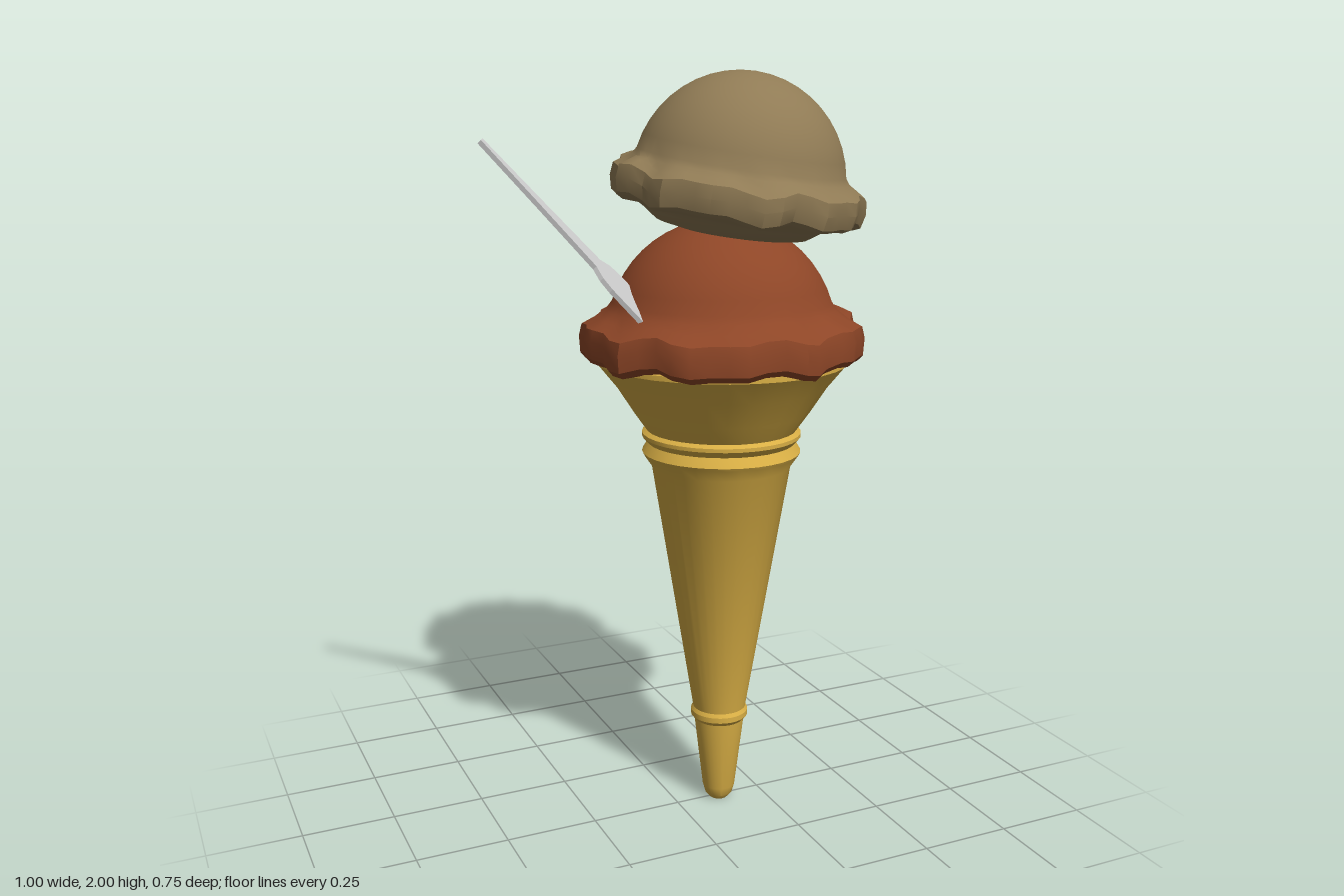
import * as THREE from 'three';
import { mergeVertices, toCreasedNormals } from 'three/addons/utils/BufferGeometryUtils.js';

const mat = (color, side = THREE.FrontSide) =>
  new THREE.MeshStandardMaterial({ color, side });

function makeMesh(name, geometry, material) {
  const mesh = new THREE.Mesh(geometry, material);
  mesh.name = name;
  return mesh;
}

// Turned part from [radius, height] pairs listed bottom to top
function lathe(profile, segments) {
  return new THREE.LatheGeometry(profile.map(([r, y]) => new THREE.Vector2(r, y)), segments);
}

// Scoop: underside and skirt profile, then a round dome; the skirt is made wavy
function scoopGeometry(base, domeRadius, domeY, startAngle, skirtInner, phase) {
  const dome = [];
  for (let i = 0; i <= 10; i++) {
    const a = THREE.MathUtils.lerp(startAngle, Math.PI / 2, i / 10);
    dome.push([Math.max(0, domeRadius * Math.cos(a)), domeY + domeRadius * Math.sin(a)]);
  }
  let g = lathe([...base, ...dome], 48);
  const p = g.attributes.position;
  for (let i = 0; i < p.count; i++) {
    const x = p.getX(i), z = p.getZ(i);
    const r = Math.hypot(x, z);
    const w = THREE.MathUtils.smoothstep(r, skirtInner, skirtInner + 0.05);
    if (w === 0) continue;
    const a = Math.atan2(z, x);
    const wave = 0.009 * Math.sin(14 * a + phase) + 0.006 * Math.sin(9 * a + 2 * phase);
    const lift = 0.007 * Math.sin(8 * a + phase) + 0.005 * Math.sin(13 * a);
    const k = 1 + w * wave / r;
    p.setXYZ(i, x * k, p.getY(i) + w * lift, z * k);
  }
  g.deleteAttribute('uv');
  g.deleteAttribute('normal');
  g = mergeVertices(g, 1e-4);
  return toCreasedNormals(g, 0.6);
}

export function createModel() {
  const model = new THREE.Group();
  model.name = 'iceCreamCone';
  const axisX = 0.125, axisZ = 0.005;

  // Cone with a small lower ring, double collar and flared mouth
  const cone = makeMesh('cone', toCreasedNormals(lathe([
    [0, 0], [0.025, 0], [0.038, 0.015], [0.045, 0.04], [0.069, 0.245],
    [0.079, 0.257], [0.079, 0.272], [0.073, 0.282],
    [0.186, 0.98], [0.208, 1.012], [0.212, 1.02], [0.197, 1.045],
    [0.212, 1.062], [0.212, 1.072], [0.2, 1.08],
    [0.235, 1.13], [0.28, 1.2], [0.33, 1.262], [0.33, 1.275], [0, 1.275],
  ], 32), 0.5), mat(0xd9af45));
  cone.position.set(axisX, 0, axisZ);
  model.add(cone);

  // Lower scoop
  const lower = makeMesh('lowerScoop', scoopGeometry([
    [0, 1.272], [0.32, 1.268], [0.35, 1.27], [0.364, 1.285], [0.367, 1.33],
    [0.36, 1.36], [0.325, 1.38], [0.3, 1.4],
  ], 0.3, 1.33, 0.3, 0.29, 0.6), mat(0x8e4627));
  lower.position.set(axisX, 0, 0);
  model.add(lower);

  // Upper scoop, tipped towards its left and front
  const upper = makeMesh('upperScoop', scoopGeometry([
    [0, -0.112], [0.12, -0.106], [0.2, -0.09], [0.235, -0.065], [0.26, -0.05],
    [0.3, -0.046], [0.318, -0.035], [0.326, 0], [0.322, 0.033], [0.3, 0.048], [0.28, 0.062],
  ], 0.274, 0.03, 0.17, 0.265, 2.1), mat(0x907b55));
  upper.position.set(0.165, 1.695, 0.003);
  upper.rotation.set(0.09, 0, -0.12);
  model.add(upper);

  // Flat spoon: half outline as [distance from handle tip, half width]
  const half = [[0, 0.009], [0.2, 0.017], [0.405, 0.028], [0.435, 0.052], [0.47, 0.06], [0.6, 0.06]];
  const outline = [
    ...half.map(([d, w]) => new THREE.Vector2(d, -w)),
    ...half.map(([d, w]) => new THREE.Vector2(d, w)).reverse(),
  ];
  const thickness = 0.012;
  const spoonGeometry = new THREE.ExtrudeGeometry(new THREE.Shape(outline),
    { depth: thickness, bevelEnabled: false });
  spoonGeometry.translate(0, 0, -thickness / 2);
  const along = new THREE.Vector3(0.278, -0.32, 0.098).normalize();
  const across = new THREE.Vector3(-0.045, -0.03, 0.095);
  across.addScaledVector(along, -across.dot(along)).normalize();
  const facing = new THREE.Vector3().crossVectors(along, across);
  spoonGeometry.applyMatrix4(new THREE.Matrix4().makeBasis(along, across, facing));
  const spoon = makeMesh('spoon', spoonGeometry, mat(0xcccccc, THREE.DoubleSide));
  spoon.position.set(-0.493, 1.83, -0.058);
  model.add(spoon);

  return model;
}
